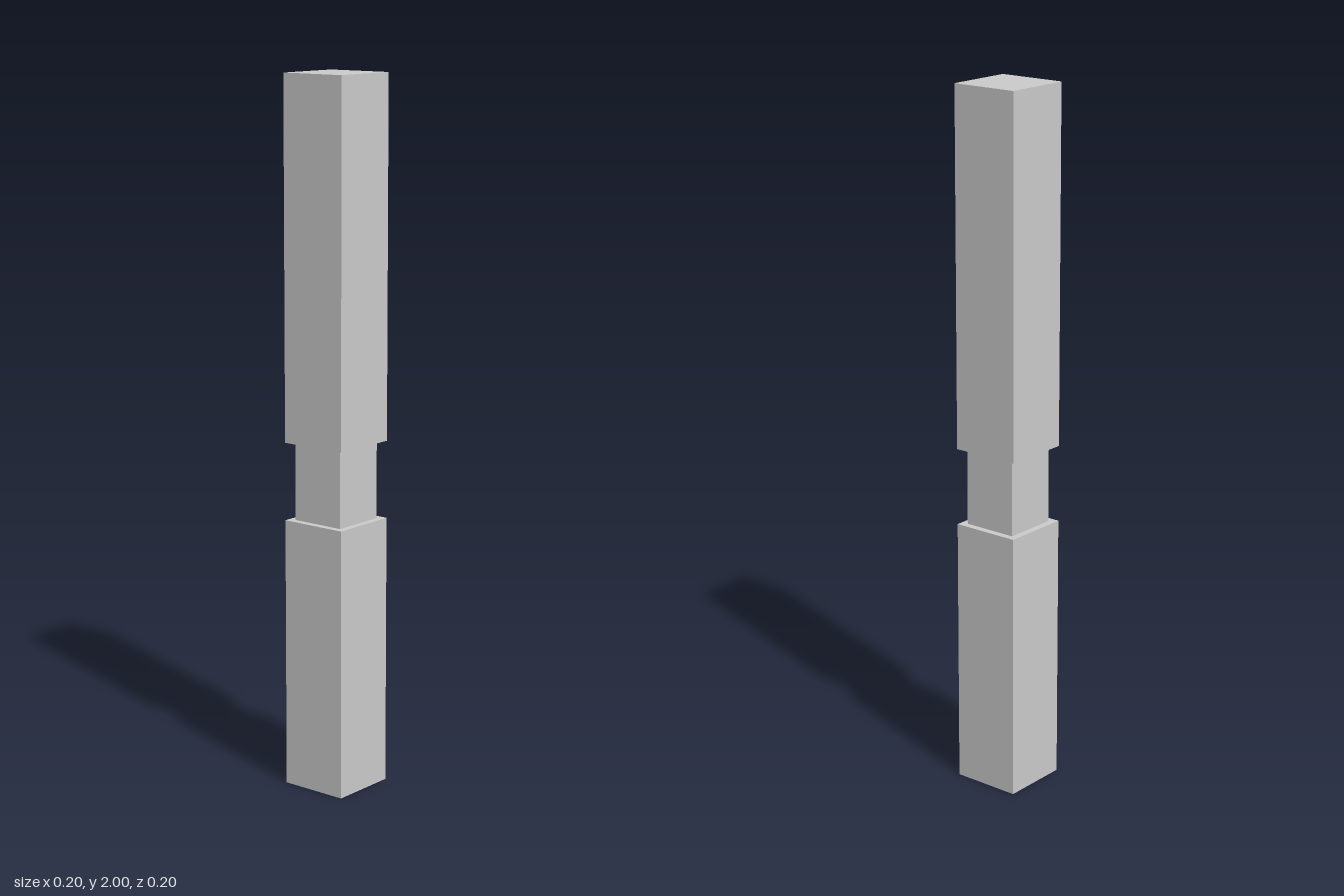
import * as THREE from 'three';

// Square post with a narrower waist; a hollow shell, closed on top and open underneath.
const OUTER = 0.1; // half width of the post
const NECK = 0.08; // half width of the waist
const NECK_BOTTOM = 0.77;
const NECK_TOP = 0.99;
const HEIGHT = 2;

const material = new THREE.MeshStandardMaterial({
  color: 0xcccccc,
  flatShading: true,
  side: THREE.DoubleSide,
});

// Four-sided shell from a profile of [half width, height] points, bottom to top
function squareShell(name, profile) {
  const points = profile.map(([w, y]) => new THREE.Vector2(w * Math.SQRT2, y));
  const geometry = new THREE.LatheGeometry(points, 4, Math.PI / 4).toNonIndexed();
  geometry.computeVertexNormals();
  const mesh = new THREE.Mesh(geometry, material);
  mesh.name = name;
  return mesh;
}

export function createModel() {
  const group = new THREE.Group();
  group.name = 'post';

  // Lower shaft with the ledge around the waist
  group.add(squareShell('lowerShaft', [[OUTER, 0], [OUTER, NECK_BOTTOM], [NECK, NECK_BOTTOM]]));

  // Recessed waist
  group.add(squareShell('neck', [[NECK, NECK_BOTTOM], [NECK, NECK_TOP]]));

  // Upper shaft with its underside ledge
  group.add(squareShell('upperShaft', [[NECK, NECK_TOP], [OUTER, NECK_TOP], [OUTER, HEIGHT]]));

  // Flat top
  const cap = new THREE.Mesh(new THREE.PlaneGeometry(OUTER * 2, OUTER * 2), material);
  cap.name = 'topCap';
  cap.rotation.x = -Math.PI / 2;
  cap.position.y = HEIGHT;
  group.add(cap);

  return group;
}
